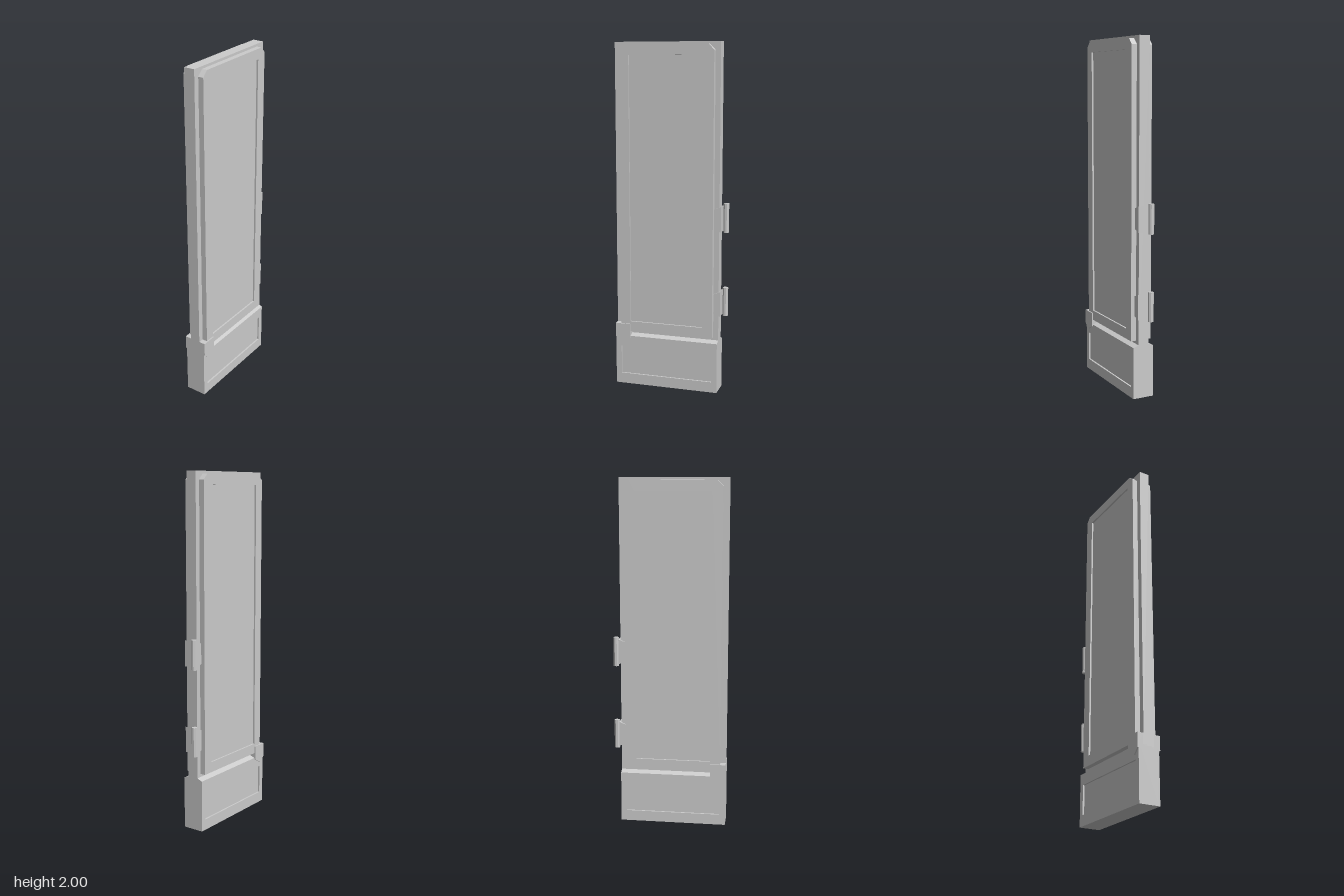
import * as THREE from 'three';

const material = new THREE.MeshStandardMaterial({ color: 0xcccccc, flatShading: true });

const outline = (points) => new THREE.Shape(points.map(([x, y]) => new THREE.Vector2(x, y)));

// Rectangle corners, with optional chamfers at the top
const rect = (x0, x1, y0, y1, c = 0) => c
  ? [[x0, y0], [x1, y0], [x1, y1 - c], [x1 - c, y1], [x0 + c, y1], [x0, y1 - c]]
  : [[x0, y0], [x1, y0], [x1, y1], [x0, y1]];

export function createModel() {
  const door = new THREE.Group();
  door.name = 'door';

  const add = (name, geometry) => {
    const mesh = new THREE.Mesh(geometry, material);
    mesh.name = name;
    door.add(mesh);
    return mesh;
  };

  // Flat plate between two depths, with an optional opening
  const plate = (name, points, z0, z1, hole) => {
    const shape = outline(points);
    if (hole) shape.holes.push(outline(hole));
    const geometry = new THREE.ExtrudeGeometry(shape, { depth: z1 - z0, bevelEnabled: false });
    return add(name, geometry.translate(0, 0, z0));
  };

  // The same plate on the front and the back
  const bothSides = (name, points, z0, z1, hole) => {
    plate(name + 'Front', points, z0, z1, hole);
    plate(name + 'Back', points, -z1, -z0, hole);
  };

  const left = -0.328, right = 0.287;
  const slabZ = 0.031, faceZ = 0.062, recessZ = 0.052;

  // Core slab, above the thicker base
  plate('slab', rect(left, right, 0.29, 2), -slabZ, slabZ);

  // Base block with sloped shoulders, profile drawn in z and y
  const profile = outline([
    [-recessZ, 0], [recessZ, 0], [recessZ, 0.296], [faceZ, 0.296],
    [slabZ, 0.309], [-slabZ, 0.309], [-faceZ, 0.296], [-recessZ, 0.296],
  ]);
  const base = new THREE.ExtrudeGeometry(profile, { depth: right - left, bevelEnabled: false });
  add('base', base.rotateY(-Math.PI / 2).translate(right, 0, 0));
  bothSides('baseFrame', rect(left, right, 0, 0.296), recessZ, faceZ, rect(-0.295, 0.256, 0.062, 0.231));

  // Raised upper frame around a recessed panel
  const opening = rect(-0.237, 0.196, 0.386, 1.927);
  bothSides('upperFrame', rect(-0.296, 0.257, 0.327, 1.986, 0.032), slabZ, faceZ, opening);
  bothSides('upperPanel', opening, slabZ, recessZ);

  // Pointed lock plates
  bothSides('lockPlate', [
    [left, 0.37], [left, 0.289], [-0.295, 0.256], [-0.238, 0.286], [-0.238, 0.37],
  ], slabZ, 0.069);

  // Hinges: tapered leaf and eight-sided pin
  for (const y of [1.018, 0.527]) {
    plate('hingeLeaf', [
      [0.259, y - 0.057], [0.298, y - 0.073], [0.298, y + 0.073], [0.259, y + 0.057],
    ], -0.041, 0.041);
    const pin = add('hingePin', new THREE.CylinderGeometry(0.0162, 0.0162, 0.168, 8).rotateY(Math.PI / 8));
    pin.position.set(0.312, y, -0.032);
  }

  return door;
}
